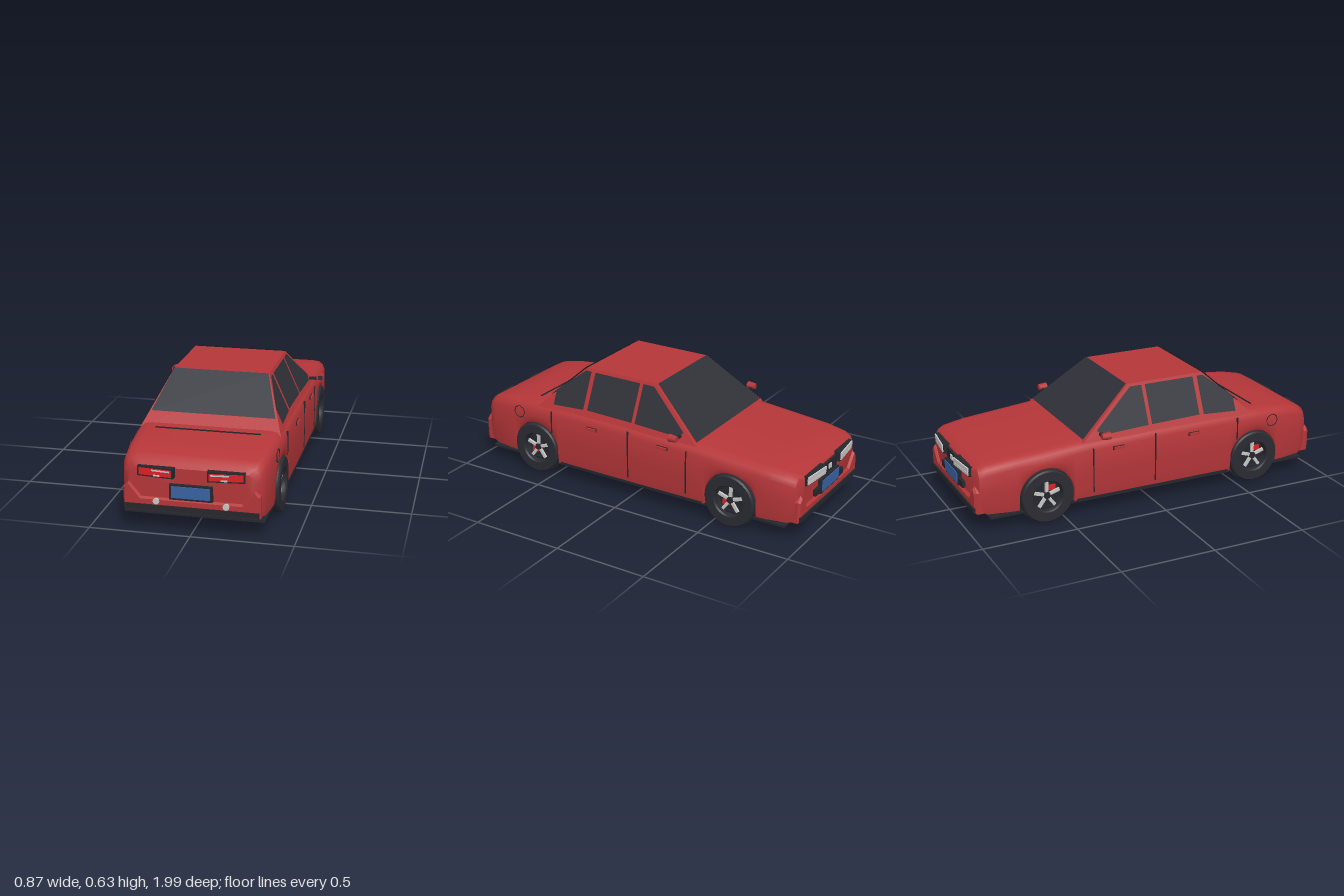
import * as THREE from 'three';
import { toCreasedNormals } from 'three/addons/utils/BufferGeometryUtils.js';

const mat = (name, color, side = THREE.FrontSide) => {
  const m = new THREE.MeshStandardMaterial({ color, side });
  m.name = name;
  return m;
};
const paint = mat('red paint', 0xb53639);
const glass = mat('dark glass', 0x303138, THREE.DoubleSide);
const black = mat('black trim', 0x26272d);
const rubber = mat('tyre rubber', 0x2b2c33, THREE.DoubleSide);
const lampRed = mat('lamp red', 0xdc2225);
const silver = mat('silver', 0xc8c8c8);
const blue = mat('plate blue', 0x3a63a5);

const WHEEL_Z = 0.6, AXLE_Y = 0.147, ARCH = 0.146;

// Half width, top and bottom of the body along its length: [z, w, top, bottom]
const PROFILE = [
  [-0.96, 0.31, 0.325, 0.13], [-0.945, 0.335, 0.34, 0.112], [-0.91, 0.348, 0.352, 0.1],
  [-0.8, 0.36, 0.367, 0.095], [-0.6, 0.368, 0.382, 0.09], [-0.38, 0.374, 0.4, 0.09],
  [0, 0.376, 0.41, 0.09], [0.4, 0.375, 0.412, 0.09], [0.62, 0.371, 0.407, 0.09],
  [0.8, 0.36, 0.392, 0.095], [0.9, 0.35, 0.372, 0.1], [0.94, 0.335, 0.35, 0.112],
  [0.96, 0.31, 0.325, 0.13],
];

function profileAt(z) {
  let i = 0;
  while (i < PROFILE.length - 2 && z > PROFILE[i + 1][0]) i++;
  const a = PROFILE[i], b = PROFILE[i + 1], k = (z - a[0]) / (b[0] - a[0]);
  const [w, t, base] = [1, 2, 3].map(n => a[n] + (b[n] - a[n]) * k);
  const d = Math.abs(Math.abs(z) - WHEEL_Z);
  const bottom = d <= ARCH ? AXLE_Y + Math.sqrt(ARCH * ARCH - d * d) : base;
  return { w, t, bottom };
}

// Lofted shell whose lower edge rises over the wheels
function bodyGeometry() {
  const zs = PROFILE.map(p => p[0]);
  for (const s of [-1, 1]) {
    for (let i = 0; i <= 20; i++) zs.push(s * WHEEL_Z + Math.cos(Math.PI * i / 20) * (ARCH - 1e-6));
    zs.push(s * WHEEL_Z - ARCH - 0.001, s * WHEEL_Z + ARCH + 0.001);
  }
  zs.sort((a, b) => a - b);
  const pos = [], idx = [], N = 14;
  for (const z of zs) {
    const { w, t, bottom: b } = profileAt(z), s = t - 0.05;
    const half = [[w - 0.008, b], [w - 0.002, b + (s - b) * 0.15], [w, b + (s - b) * 0.6], [w - 0.003, s],
      [w - 0.014, t - 0.022], [w - 0.036, t - 0.005], [w - 0.07, t]];
    const ring = [...half, ...half.map(([x, y]) => [-x, y]).reverse()];
    for (const [x, y] of ring) pos.push(x, y, z);
  }
  const last = (zs.length - 1) * N;
  for (let i = 0; i < zs.length - 1; i++) {
    for (let j = 0; j < N; j++) {
      const a = i * N + j, b = i * N + (j + 1) % N;
      idx.push(a, b, a + N, b, b + N, a + N);
    }
  }
  for (let j = 1; j < N - 1; j++) idx.push(0, j + 1, j, last, last + j, last + j + 1);
  const g = new THREE.BufferGeometry();
  g.setAttribute('position', new THREE.Float32BufferAttribute(pos, 3));
  g.setIndex(idx);
  return toCreasedNormals(g, 0.6);
}

// Cabin: a box tapered towards the roof
const CAB = { y0: 0.39, y1: 0.628, x0: 0.356, x1: 0.247, back0: 0.59, back1: 0.335, front0: -0.4, front1: -0.1 };
const cabMix = (a, b, y) => a + (b - a) * (y - CAB.y0) / (CAB.y1 - CAB.y0);
const cabX = y => cabMix(CAB.x0, CAB.x1, y);
const cabBack = y => cabMix(CAB.back0, CAB.back1, y);
const cabFront = y => cabMix(CAB.front0, CAB.front1, y);

function cabinGeometry() {
  const g = new THREE.BoxGeometry(2, 1, 2), p = g.attributes.position;
  for (let i = 0; i < p.count; i++) {
    const y = p.getY(i) > 0 ? CAB.y1 : CAB.y0;
    p.setXYZ(i, Math.sign(p.getX(i)) * cabX(y), y, p.getZ(i) > 0 ? cabBack(y) : cabFront(y));
  }
  g.computeVertexNormals();
  return g;
}

// Flat polygon from its corners
function panel(points) {
  const g = new THREE.BufferGeometry().setFromPoints(points.map(p => new THREE.Vector3(...p)));
  const idx = [];
  for (let i = 1; i < points.length - 1; i++) idx.push(0, i, i + 1);
  g.setIndex(idx);
  g.computeVertexNormals();
  return g;
}

export function createModel() {
  const car = new THREE.Group();
  car.name = 'car';
  const add = (name, geo, material, x = 0, y = 0, z = 0, parent = car) => {
    const m = new THREE.Mesh(geo, material);
    m.name = name;
    m.position.set(x, y, z);
    parent.add(m);
    return m;
  };
  const box = (name, w, h, d, material, x, y, z, parent) =>
    add(name, new THREE.BoxGeometry(w, h, d), material, x, y, z, parent);

  add('body', bodyGeometry(), paint);
  add('cabin', cabinGeometry(), paint);
  box('undertray', 0.69, 0.012, 1.82, black, 0, 0.076, 0.01);
  box('floor', 0.66, 0.03, 1.7, black, 0, 0.09, 0);

  // Windscreen and rear window
  const o = 0.005;
  const screen = (name, zAt, s, y0, x0) => add(name, panel([
    [-x0, y0 + o, zAt(y0) + s * o], [x0, y0 + o, zAt(y0) + s * o],
    [0.245, 0.626 + o, zAt(0.626) + s * o], [-0.245, 0.626 + o, zAt(0.626) + s * o]]), glass);
  screen('windscreen', cabFront, -1, 0.4, 0.338);
  screen('rearWindow', cabBack, 1, 0.452, 0.316);

  // Side windows as [z, y] outlines
  const windows = {
    quarterWindow: [[0.49, 0.418], [0.49, 0.495], [0.335, 0.615], [0.3, 0.615], [0.3, 0.428]],
    rearDoorWindow: [[0.275, 0.43], [0.275, 0.615], [-0.005, 0.615], [-0.005, 0.425]],
    frontDoorWindow: [[-0.025, 0.424], [-0.025, 0.615], [-0.09, 0.615], [-0.315, 0.44], [-0.29, 0.415]],
  };

  for (const s of [-1, 1]) {
    for (const [name, pts] of Object.entries(windows))
      add(name, panel(pts.map(([z, y]) => [s * (cabX(y) + 0.004), y, z])), glass);

    // Door gaps, handles, sill trim and fuel flap
    for (const [z, y0, y1] of [[0.49, 0.26, 0.385], [0, 0.125, 0.385], [-0.35, 0.125, 0.36]])
      box('doorGap', 0.008, y1 - y0, 0.006, black, s * (profileAt(z).w - 0.002), (y0 + y1) / 2, z);
    for (const z of [0.225, -0.21]) {
      box('handleRecess', 0.008, 0.018, 0.062, black, s * 0.373, 0.345, z);
      box('doorHandle', 0.014, 0.012, 0.056, paint, s * 0.38, 0.346, z);
    }
    box('sillTrim', 0.02, 0.014, 0.88, black, s * 0.36, 0.093, 0);
    const flap = add('fuelFlap', new THREE.TorusGeometry(0.034, 0.0025, 4, 8), black, s * 0.366, 0.335, 0.71);
    flap.rotation.y = Math.PI / 2;

    // Door mirrors
    box('mirrorStalk', 0.05, 0.012, 0.02, black, s * 0.375, 0.425, -0.3);
    const mirror = add('mirrorHousing', new THREE.CylinderGeometry(0.021, 0.016, 0.045, 8), paint, s * 0.414, 0.435, -0.3);
    mirror.rotation.x = Math.PI / 2;
    mirror.rotation.y = Math.PI / 8;
    box('mirrorGlass', 0.024, 0.024, 0.004, glass, s * 0.414, 0.435, -0.277);
  }
  box('bootGap', 0.53, 0.006, 0.006, black, 0, 0.408, 0.635);

  // Wheels: tyre ring, spokes and brake, with a broad axle drum between each pair
  const tyre = toCreasedNormals(new THREE.LatheGeometry(
    [[0.08, -0.035], [0.13, -0.035], [0.14, -0.025], [0.14, 0.03], [0.133, 0.038], [0.086, 0.038], [0.08, 0.03], [0.08, -0.035]]
      .map(p => new THREE.Vector2(...p)), 32), 0.6);
  for (const z of [-WHEEL_Z, WHEEL_Z]) {
    const drum = add('axleDrum', new THREE.CylinderGeometry(0.145, 0.145, 0.65, 32), black, 0, AXLE_Y, z);
    drum.rotation.z = Math.PI / 2;
    for (const s of [-1, 1]) {
      const wheel = new THREE.Group();
      wheel.name = 'wheel';
      wheel.position.set(s * 0.338, AXLE_Y, z);
      wheel.rotation.z = -s * Math.PI / 2;
      car.add(wheel);
      add('tyre', tyre, rubber, 0, 0, 0, wheel);
      add('hub', new THREE.CylinderGeometry(0.018, 0.018, 0.03, 12), black, 0, 0.008, 0, wheel);
      box('brake', 0.025, 0.012, 0.04, lampRed, 0.03, -0.008, 0.035, wheel);
      for (let i = 0; i < 5; i++) {
        const arm = new THREE.Group();
        arm.name = 'spoke';
        arm.rotation.y = i * Math.PI * 2 / 5 + Math.PI;
        wheel.add(arm);
        box('spokeBar', 0.055, 0.012, 0.016, silver, s * 0.045, 0.012, 0, arm);
      }
    }
  }

  // Bumpers with raised corners, shared by both ends
  const half = [[0.325, 0.115], [0.325, 0.215], [0.307, 0.235], [0.25, 0.165]];
  const outline = [...half, ...half.map(([x, y]) => [-x, y]).reverse()].map(p => new THREE.Vector2(...p));
  const bumperGeo = new THREE.ExtrudeGeometry(new THREE.Shape(outline),
    { depth: 0.05, bevelSize: 0.009, bevelThickness: 0.012, bevelSegments: 1 });

  for (const end of ['rear', 'front']) {
    const g = new THREE.Group();
    const rear = end === 'rear';
    g.name = end + 'End';
    g.rotation.y = rear ? 0 : Math.PI;
    car.add(g);
    add('bumper', bumperGeo, paint, 0, 0, 0.912, g);
    box('bumperStrip', 0.656, 0.026, 0.04, black, 0, 0.127, 0.962, g);
    box('plateFrame', 0.21, 0.076, 0.03, black, 0, 0.212, 0.963, g);
    box('plate', 0.188, 0.058, 0.006, blue, 0, 0.214, 0.98, g);
    for (const s of [-1, 1]) {
      // Lamp clusters, swept back towards the sides
      const lamp = new THREE.Group();
      lamp.name = rear ? 'tailLamp' : 'headLamp';
      lamp.position.set(s * 0.17, 0.306, 0.962);
      lamp.rotation.y = s * 0.1;
      g.add(lamp);
      box('lampFrame', 0.18, 0.05, 0.036, black, 0, 0, 0, lamp);
      if (rear) {
        box('lampLens', 0.162, 0.034, 0.012, lampRed, 0, 0, 0.017, lamp);
        box('lampStrip', 0.09, 0.007, 0.004, silver, -s * 0.03, 0.01, 0.023, lamp);
        box('reverseLamp', 0.032, 0.008, 0.004, silver, -s * 0.01, -0.014, 0.023, lamp);
        const fog = add('reflector', new THREE.CylinderGeometry(0.016, 0.016, 0.01, 12), silver, s * 0.17, 0.158, 0.975, g);
        fog.rotation.x = Math.PI / 2;
      } else {
        box('lampLens', 0.168, 0.022, 0.014, silver, 0, 0.01, 0.018, lamp);
        box('lowerLens', 0.168, 0.014, 0.012, silver, 0, -0.012, 0.017, lamp);
        box('intake', 0.06, 0.034, 0.03, black, s * 0.13, 0.2, 0.962, g);
      }
    }
    if (!rear) {
      box('grille', 0.17, 0.055, 0.03, black, 0, 0.29, 0.957, g);
      box('grilleCentre', 0.03, 0.026, 0.006, silver, 0, 0.29, 0.974, g);
    }
  }
  return car;
}
